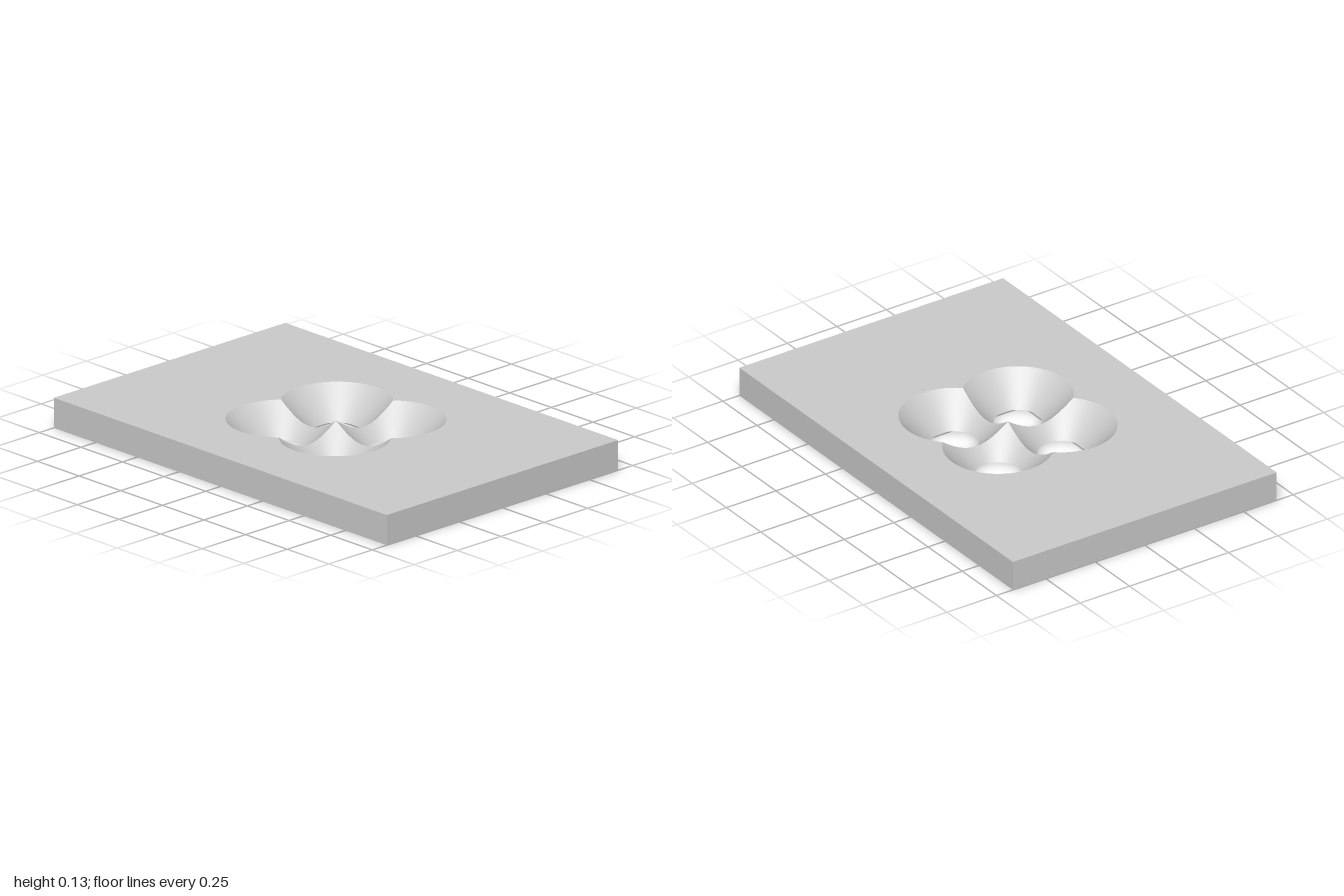
import * as THREE from 'three';

const W = 2, D = 1.333, H = 0.133;      // plate size
const C = 0.16, R0 = 0.1, R1 = 0.233;   // countersink offset, bottom and top radius
const material = new THREE.MeshStandardMaterial({ color: 0xcccccc });

// Angles around one countersink: the free arc, then the two edges shared with its neighbours
const arcEnd = Math.acos(-C / R1);
const arcStart = Math.PI / 2 - arcEnd;
const corner = Math.PI * 1.25;
const span = (a, b, n) => Array.from({ length: n }, (_, i) => a + (b - a) * i / n);
const arc = [...span(arcStart, arcEnd, 40), arcEnd];
const angles = [
  ...span(arcStart, arcEnd, 40),
  ...span(arcEnd, corner, 20),
  ...span(corner, arcStart + Math.PI * 2, 20),
  arcStart + Math.PI * 2,
];

// Conical wall, cut off at the planes x = 0 and z = 0
function countersinkGeometry() {
  const pos = [], nor = [], idx = [];
  const k = H / (R1 - R0), len = Math.hypot(1, k);
  angles.forEach((t, i) => {
    const c = Math.cos(t), s = Math.sin(t);
    const reach = Math.min(R1, c < 0 ? -C / c : R1, s < 0 ? -C / s : R1);
    for (const r of [R0, reach]) {
      pos.push(C + r * c, (r - R0) * k, C + r * s);
      nor.push(-c * k / len, 1 / len, -s * k / len);
    }
    if (i) {
      const a = 2 * i - 2;
      idx.push(a, a + 2, a + 3, a, a + 3, a + 1);
    }
  });
  const g = new THREE.BufferGeometry();
  g.setAttribute('position', new THREE.Float32BufferAttribute(pos, 3));
  g.setAttribute('normal', new THREE.Float32BufferAttribute(nor, 3));
  g.setIndex(idx);
  return g;
}

function plateOutline() {
  return new THREE.Shape([[-1, -1], [1, -1], [1, 1], [-1, 1]]
    .map(([x, y]) => new THREE.Vector2(x * W / 2, y * D / 2)));
}

export function createModel() {
  const model = new THREE.Group();
  model.name = 'countersunkPlate';
  const add = (name, geometry) => {
    const mesh = new THREE.Mesh(geometry, material);
    mesh.name = name;
    model.add(mesh);
    return mesh;
  };

  const top = plateOutline(), bottom = plateOutline();
  const clover = [];
  const sink = countersinkGeometry();
  for (let q = 0; q < 4; q++) {
    const turn = q * Math.PI / 2;
    const place = (r, t) => new THREE.Vector2(C + r * Math.cos(t), C + r * Math.sin(t))
      .rotateAround(new THREE.Vector2(), turn);
    // Last point of each arc is the first of the next
    clover.push(...arc.slice(0, -1).map((t) => place(R1, t)));
    bottom.holes.push(new THREE.Path(angles.slice(0, -1).map((t) => place(R0, t))));
    add('countersink' + (q + 1), sink).rotation.y = turn;
  }
  top.holes.push(new THREE.Path(clover));

  // Top and bottom faces
  add('topFace', new THREE.ShapeGeometry(top).rotateX(-Math.PI / 2).translate(0, H, 0));
  add('bottomFace', new THREE.ShapeGeometry(bottom).rotateX(Math.PI / 2));

  // Outer edges
  ['frontEdge', 'leftEdge', 'backEdge', 'rightEdge'].forEach((name, i) => {
    const [width, offset] = i % 2 ? [D, W / 2] : [W, D / 2];
    add(name, new THREE.PlaneGeometry(width, H).translate(0, H / 2, offset).rotateY(i * Math.PI / 2));
  });
  return model;
}
